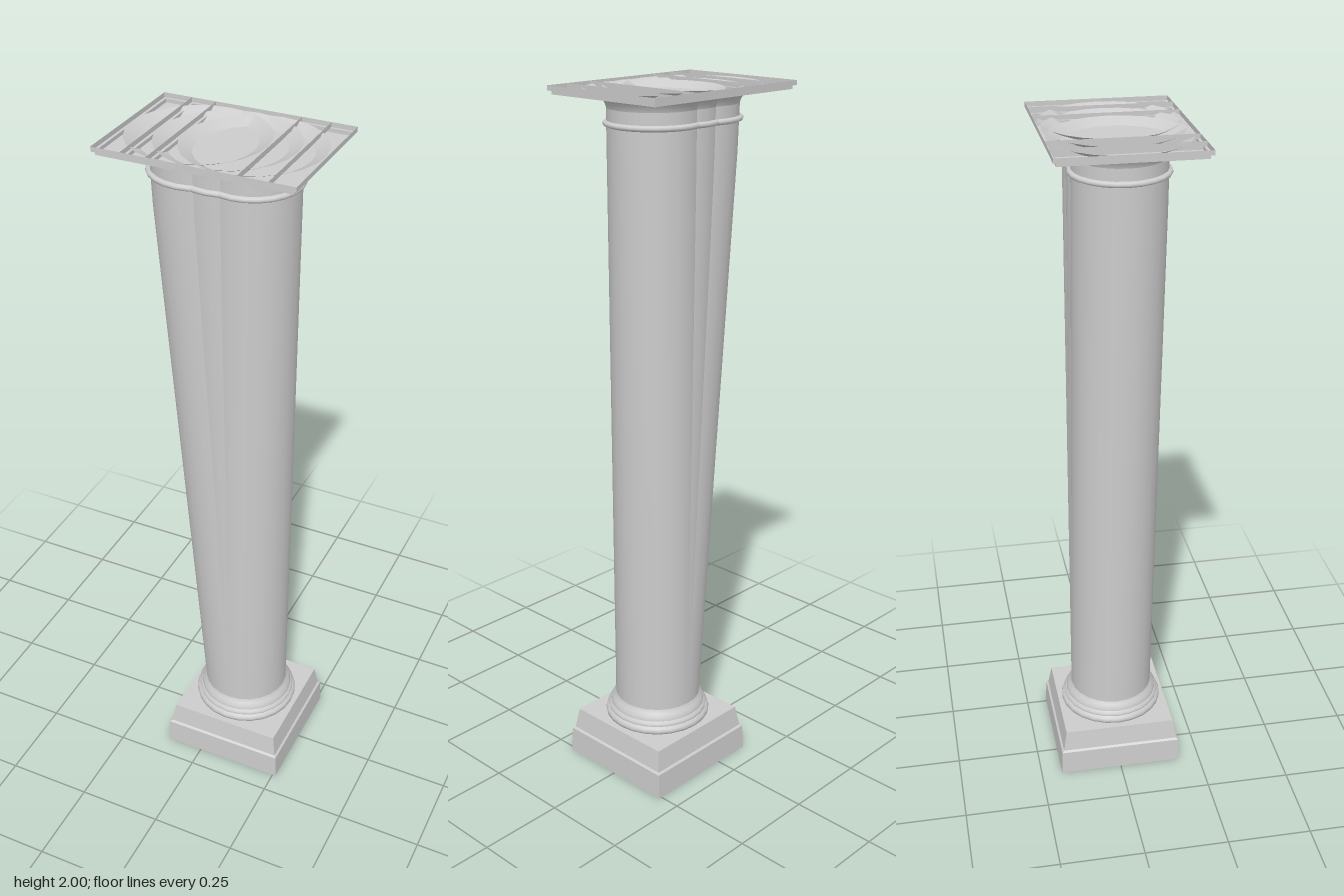
import * as THREE from 'three';

const BASE_X = 0.073;               // centre of the shared base
const TOPS = [0.075, 0.005, -0.075]; // centres of the three overlapping capitals
const SIDES = 24;
const SHAFT_R = 0.125, SHAFT_BOTTOM = 0.19, SHAFT_TOP = 1.96;

const smooth = new THREE.MeshStandardMaterial({ color: 0xcccccc, side: THREE.DoubleSide });
const flat = new THREE.MeshStandardMaterial({ color: 0xcccccc, side: THREE.DoubleSide, flatShading: true });

const vectors = (points) => points.map(([r, y]) => new THREE.Vector2(r, y));

// Round moulding turned from a [radius, y] profile
function turned(name, points, x) {
  const mesh = new THREE.Mesh(new THREE.LatheGeometry(vectors(points), SIDES), smooth);
  mesh.name = name;
  mesh.position.x = x;
  return mesh;
}

// Square moulding swept from a [half width, y] profile
function squared(name, points, x) {
  const profile = vectors(points.map(([h, y]) => [h * Math.SQRT2, y]));
  const geometry = new THREE.LatheGeometry(profile, 4).rotateY(Math.PI / 4);
  const mesh = new THREE.Mesh(geometry, flat);
  mesh.name = name;
  mesh.position.x = x;
  return mesh;
}

// Shaft sheared so that its foot sits on the base and its head under the capital
function shaft(topX) {
  const height = SHAFT_TOP - SHAFT_BOTTOM;
  const geometry = new THREE.CylinderGeometry(SHAFT_R, SHAFT_R, height, SIDES, 12, true);
  geometry.translate(0, SHAFT_BOTTOM + height / 2, 0);
  const p = geometry.attributes.position;
  for (let i = 0; i < p.count; i++) {
    const t = Math.min((p.getY(i) - SHAFT_BOTTOM) / (1.9 - SHAFT_BOTTOM), 1);
    p.setX(i, p.getX(i) + THREE.MathUtils.lerp(BASE_X, topX, t));
  }
  const mesh = new THREE.Mesh(geometry, smooth);
  mesh.name = 'shaft';
  return mesh;
}

function column(topX) {
  const group = new THREE.Group();
  group.name = 'column';
  group.add(
    shaft(topX),
    turned('neckRing', [[0.125, 1.897], [0.133, 1.9], [0.135, 1.905], [0.133, 1.91], [0.125, 1.913]], topX),
    turned('echinus', [[0.125, 1.945], [0.129, 1.957], [0.138, 1.968], [0.151, 1.977], [0.187, 1.994]], topX),
    // Open tray with a stepped rim
    squared('abacus', [[0, 1.977], [0.187, 1.977], [0.187, 1.987], [0.195, 1.987], [0.195, 2]], topX),
  );
  return group;
}

export function createModel() {
  const model = new THREE.Group();
  model.name = 'leaningColumns';

  // Hollow plinth, open underneath
  model.add(squared('plinth', [
    [0.187, 0], [0.184, 0.075], [0.178, 0.08], [0.168, 0.142], [0, 0.142],
  ], BASE_X));

  // Round base mouldings
  model.add(
    turned('lowerTorus', [[0.148, 0.142], [0.155, 0.147], [0.156, 0.154], [0.154, 0.162], [0.147, 0.167]], BASE_X),
    turned('upperTorus', [[0.147, 0.167], [0.148, 0.175], [0.14, 0.181]], BASE_X),
    turned('footCollar', [[0.14, 0.181], [0.138, 0.194], [0.13, 0.2], [0.125, 0.212]], BASE_X),
  );

  TOPS.forEach((x) => model.add(column(x)));
  return model;
}
